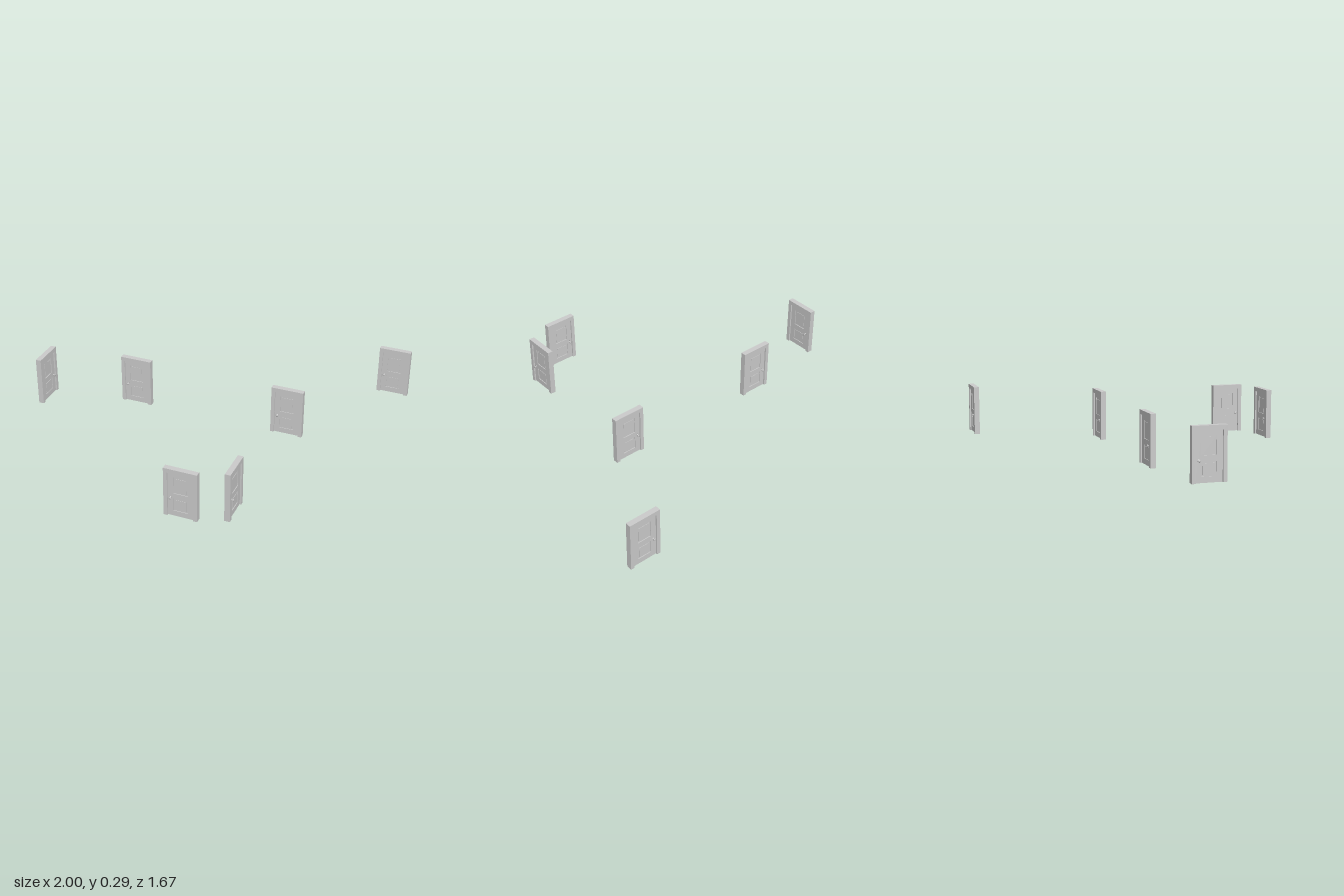
import * as THREE from 'three';

const W = 0.185, H = 0.287, D = 0.031; // outer frame
const JAMB = 0.021, SLAB = 0.014;
const material = new THREE.MeshStandardMaterial({ color: 0xcccccc });

function add(parent, name, geometry, x = 0, y = 0, z = 0) {
  const mesh = new THREE.Mesh(geometry, material);
  mesh.name = name;
  mesh.position.set(x, y, z);
  parent.add(mesh);
  return mesh;
}

function rect(Type, x0, y0, x1, y1) {
  return new Type([[x0, y0], [x1, y0], [x1, y1], [x0, y1]].map(([x, y]) => new THREE.Vector2(x, y)));
}

function extrude(shape, depth) {
  return new THREE.ExtrudeGeometry(shape, { depth, bevelEnabled: false }).translate(0, 0, -depth / 2);
}

function createDoor() {
  const door = new THREE.Group();
  const inner = W / 2 - JAMB, top = H - JAMB - 0.003;

  // Frame: two jambs and a lintel, open at the floor
  const outline = [
    [-W / 2, 0], [-inner, 0], [-inner, top], [inner, top],
    [inner, 0], [W / 2, 0], [W / 2, H], [-W / 2, H],
  ].map(([x, y]) => new THREE.Vector2(x, y));
  add(door, 'doorFrame', extrude(new THREE.Shape(outline), D));

  // Leaf with an upper and a lower panel opening
  const leaf = rect(THREE.Shape, -inner, 0.001, inner, top);
  const panels = [[0.032, 0.106], [0.138, 0.236]];
  const half = 0.040;
  for (const [y0, y1] of panels) leaf.holes.push(rect(THREE.Path, -half, y0, half, y1));
  add(door, 'doorLeaf', extrude(leaf, SLAB));

  // Recessed panels with a raised field visible on both faces
  for (const [y0, y1] of panels) {
    const y = (y0 + y1) / 2, h = y1 - y0;
    add(door, 'recessedPanel', new THREE.BoxGeometry(half * 2, h, 0.006), 0, y);
    add(door, 'raisedField', new THREE.BoxGeometry(half * 2 - 0.016, h - 0.016, 0.010), 0, y);
  }

  // Knob on each face: rosette, neck and rounded grip
  const profile = [
    [0, 0], [0.0065, 0], [0.0065, 0.002], [0.003, 0.003], [0.003, 0.007],
    [0.006, 0.009], [0.008, 0.0115], [0.006, 0.014], [0, 0.0148],
  ].map(([r, y]) => new THREE.Vector2(r, y));
  const knob = new THREE.LatheGeometry(profile, 16);
  for (const side of [1, -1]) {
    add(door, 'doorKnob', knob, -0.055, 0.113, side * SLAB / 2).rotation.x = side * Math.PI / 2;
  }
  return door;
}

export function createModel() {
  const model = new THREE.Group();
  model.name = 'doorSet';
  // x, z and quarter turns of each door
  const places = [
    [-0.978, 0.003, -1], [-0.460, -0.141, 0], [0.467, -0.141, 0],
    [0.907, -0.815, 0], [0.226, 0.813, 0], [0.457, 0.672, 1],
  ];
  places.forEach(([x, z, turn], i) => {
    const door = createDoor();
    door.name = `door${i + 1}`;
    door.position.set(x, 0, z);
    door.rotation.y = turn * Math.PI / 2;
    model.add(door);
  });
  return model;
}
